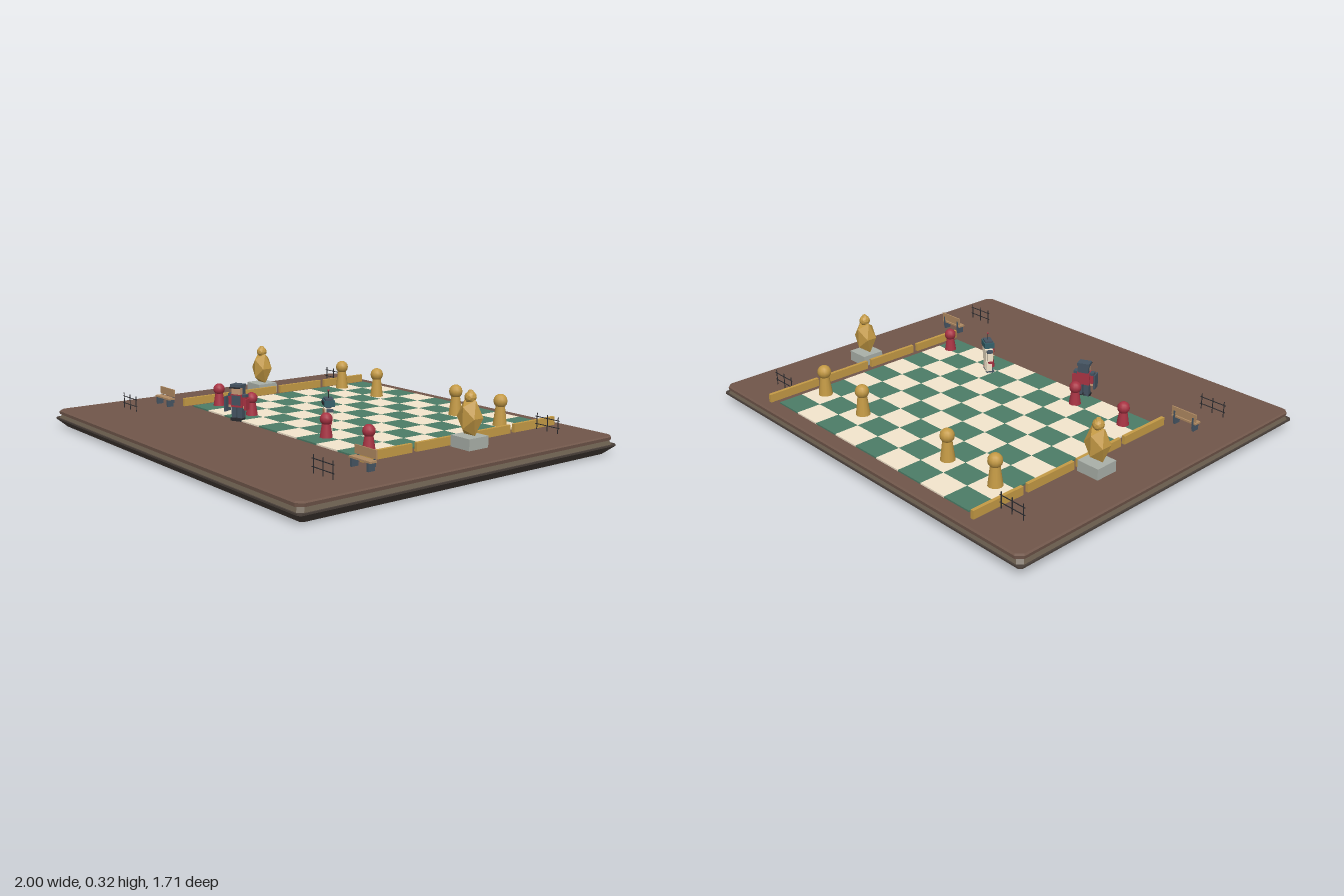
import * as THREE from 'three';

const mat = (color, extra = {}) => new THREE.MeshStandardMaterial({ color, ...extra });
const M = {
  brown: mat(0x70564a), dark: mat(0x4a403a), olive: mat(0x675b4c), green: mat(0x4c7c67), cream: mat(0xf3e5cc),
  gold: mat(0xc49a45), goldFlat: mat(0xc49a45, { flatShading: true }), red: mat(0xa83343), grey: mat(0xa9afa8),
  slate: mat(0x455462), teal: mat(0x34606a), tan: mat(0xb08a62), skin: mat(0xc79a76), black: mat(0x2a2a2e)
};
const TOP = 0.083;

function add(parent, name, geo, material, x = 0, y = 0, z = 0) {
  const m = new THREE.Mesh(geo, material);
  m.name = name;
  m.position.set(x, y, z);
  parent.add(m);
  return m;
}
const box = (p, name, material, w, h, d, x, y, z) => add(p, name, new THREE.BoxGeometry(w, h, d), material, x, y, z);
function group(parent, name, x = 0, y = 0, z = 0) {
  const g = new THREE.Group();
  g.name = name;
  g.position.set(x, y, z);
  parent.add(g);
  return g;
}

// Loft through rectangles with cut corners; each layer is [halfX, y, halfZ]
function slab(layers, cut) {
  const rings = layers.map(([a, y, b]) => [
    [a, b - cut], [a - cut, b], [cut - a, b], [-a, b - cut], [-a, cut - b], [cut - a, -b], [a - cut, -b], [a, cut - b]
  ].map(([x, z]) => [x, y, z]));
  const pos = [];
  const tri = (...p) => p.forEach(v => pos.push(...v));
  for (let r = 0; r < rings.length - 1; r++) {
    for (let i = 0; i < 8; i++) {
      const j = (i + 1) % 8, lo = rings[r], hi = rings[r + 1];
      tri(lo[i], hi[i], hi[j]);
      tri(lo[i], hi[j], lo[j]);
    }
  }
  // Bottom and top caps
  const first = rings[0], last = rings[rings.length - 1];
  for (let i = 1; i < 7; i++) {
    tri(first[0], first[i], first[i + 1]);
    tri(last[0], last[i + 1], last[i]);
  }
  const g = new THREE.BufferGeometry();
  g.setAttribute('position', new THREE.Float32BufferAttribute(pos, 3));
  g.computeVertexNormals();
  return g;
}

function pawn(parent, name, material, x, z, h, headR) {
  const g = group(parent, name, x, TOP, z);
  const bodyH = h - headR * 1.7;
  add(g, 'pawnBody', new THREE.CylinderGeometry(headR * 0.66, headR * 1.05, bodyH, 12), material, 0, bodyH / 2, 0);
  add(g, 'pawnHead', new THREE.SphereGeometry(headR, 12, 8), material, 0, h - headR, 0);
}

function statue(parent, x, z) {
  const g = group(parent, 'statue', x, TOP, z);
  box(g, 'plinth', M.grey, 0.11, 0.05, 0.11, 0, 0.025, 0);
  const body = add(g, 'statueBody', new THREE.IcosahedronGeometry(1, 0), M.goldFlat, 0, 0.127, 0);
  body.scale.set(0.06, 0.088, 0.05);
  add(g, 'statueHead', new THREE.IcosahedronGeometry(0.026, 1), M.goldFlat, 0, 0.211, 0);
  add(g, 'statueCrown', new THREE.CylinderGeometry(0.009, 0.016, 0.012, 8), M.goldFlat, 0, 0.234, 0);
}

function bench(parent, x, z) {
  const g = group(parent, 'bench', x, TOP, z);
  box(g, 'benchSeat', M.tan, 0.13, 0.008, 0.035, 0, 0.038, 0);
  box(g, 'benchBack', M.tan, 0.13, 0.036, 0.006, 0, 0.065, -0.015);
  for (const s of [-1, 1]) {
    box(g, 'benchLeg', M.slate, 0.01, 0.034, 0.033, s * 0.05, 0.017, 0.001);
    box(g, 'benchPost', M.slate, 0.008, 0.05, 0.004, s * 0.05, 0.04, -0.018);
  }
}

function fence(parent, x, z) {
  const g = group(parent, 'fence', x, TOP, z);
  for (let i = 0; i < 3; i++) box(g, 'fencePost', M.black, 0.003, 0.074, 0.003, -0.06 + i * 0.06, 0.037, 0);
  for (const y of [0.025, 0.058]) box(g, 'fenceRail', M.black, 0.137, 0.003, 0.003, 0, y, 0);
}

// Legs, arms and torso shared by both small figures
function figure(parent, name, x, z, turn, c) {
  const g = group(parent, name, x, TOP, z);
  g.rotation.y = turn;
  box(g, 'torso', c.torso, 0.06, 0.06, 0.036, 0, 0.094, 0);
  box(g, 'chestPanel', c.chest, 0.046, 0.045, 0.006, 0, 0.096, 0.019);
  for (const s of [-1, 1]) {
    box(g, 'leg', c.leg, 0.024, 0.058, 0.028, s * 0.016, 0.036, 0);
    box(g, 'foot', c.foot, 0.027, 0.014, 0.038, s * 0.016, 0.007, 0.005);
    box(g, 'arm', c.arm, 0.016, 0.046, 0.024, s * 0.039, 0.095, 0);
    box(g, 'shoulder', c.shoulder, 0.018, 0.012, 0.028, s * 0.039, 0.119, 0);
    box(g, 'hand', c.hand, 0.014, 0.013, 0.018, s * 0.039, 0.066, 0.002);
  }
  return g;
}

export function createModel() {
  const root = new THREE.Group();
  root.name = 'chessCourt';

  // Stepped base
  const base = group(root, 'base');
  add(base, 'lowerBase', slab([[0.96, 0, 0.815], [1, 0.038, 0.854], [1, 0.045, 0.854]], 0.012), M.dark);
  add(base, 'baseGroove', slab([[0.992, 0.045, 0.847], [0.978, 0.066, 0.833]], 0.02), M.olive);
  add(base, 'topRim', slab([[0.988, 0.064, 0.847], [0.99, 0.078, 0.848], [0.983, TOP, 0.841]], 0.025), M.brown);

  // Nine by nine board
  const board = group(root, 'board');
  const cw = 1.283 / 9, cd = 1.07 / 9;
  const tile = new THREE.BoxGeometry(cw, 0.008, cd);
  for (let r = 0; r < 9; r++) {
    for (let c = 0; c < 9; c++) {
      add(board, 'tile', tile, (r + c) % 2 ? M.cream : M.green, (c - 4) * cw, TOP + 0.003, -0.775 + (r + 0.5) * cd);
    }
  }

  // Pawns
  for (const x of [-0.571, -0.286, 0.286, 0.571]) {
    pawn(root, 'goldPawn', M.gold, x, -0.572, 0.15, 0.032);
    pawn(root, 'redPawn', M.red, x, 0.19, 0.115, 0.028);
  }

  // Furniture mirrored on both sides
  for (const s of [-1, 1]) {
    for (const z of [-0.667, -0.38, -0.094, 0.192]) {
      box(root, 'sideRail', M.gold, 0.016, 0.038, 0.262, s * 0.685, TOP + 0.019, z);
    }
    statue(root, s * 0.762, -0.192);
    bench(root, s * 0.765, 0.381);
    fence(root, s * 0.765, 0.572);
    fence(root, s * 0.765, -0.667);
  }

  // Guard with peaked cap and shield
  const guard = figure(root, 'guardFigure', -0.25, 0.287, 0.42,
    { torso: M.red, chest: M.slate, leg: M.slate, foot: M.black, arm: M.red, shoulder: M.slate, hand: M.skin });
  box(guard, 'face', M.skin, 0.046, 0.034, 0.02, 0, 0.141, 0.009);
  box(guard, 'hair', M.slate, 0.05, 0.036, 0.022, 0, 0.142, -0.011);
  box(guard, 'cap', M.slate, 0.056, 0.014, 0.046, 0, 0.163, 0);
  box(guard, 'capPeak', M.black, 0.05, 0.005, 0.016, 0, 0.156, 0.028);
  box(guard, 'shield', M.slate, 0.008, 0.07, 0.044, -0.051, 0.078, 0.014);
  box(guard, 'satchel', M.red, 0.01, 0.05, 0.03, 0.05, 0.08, 0.006);

  // Robot with wide head and antenna
  const robot = figure(root, 'robotFigure', 0.25, 0.15, -0.5,
    { torso: M.cream, chest: M.tan, leg: M.cream, foot: M.slate, arm: M.cream, shoulder: M.slate, hand: M.red });
  add(robot, 'neck', new THREE.CylinderGeometry(0.013, 0.013, 0.014, 10), M.slate, 0, 0.129, 0);
  box(robot, 'head', M.teal, 0.068, 0.026, 0.046, 0, 0.147, 0);
  box(robot, 'visor', M.black, 0.05, 0.012, 0.004, 0, 0.147, 0.024);
  box(robot, 'headCap', M.slate, 0.054, 0.008, 0.036, 0, 0.164, 0);
  add(robot, 'antenna', new THREE.CylinderGeometry(0.002, 0.002, 0.034, 6), M.black, 0, 0.183, 0);
  add(robot, 'antennaTip', new THREE.SphereGeometry(0.005, 8, 6), M.red, 0, 0.2, 0);

  return root;
}
